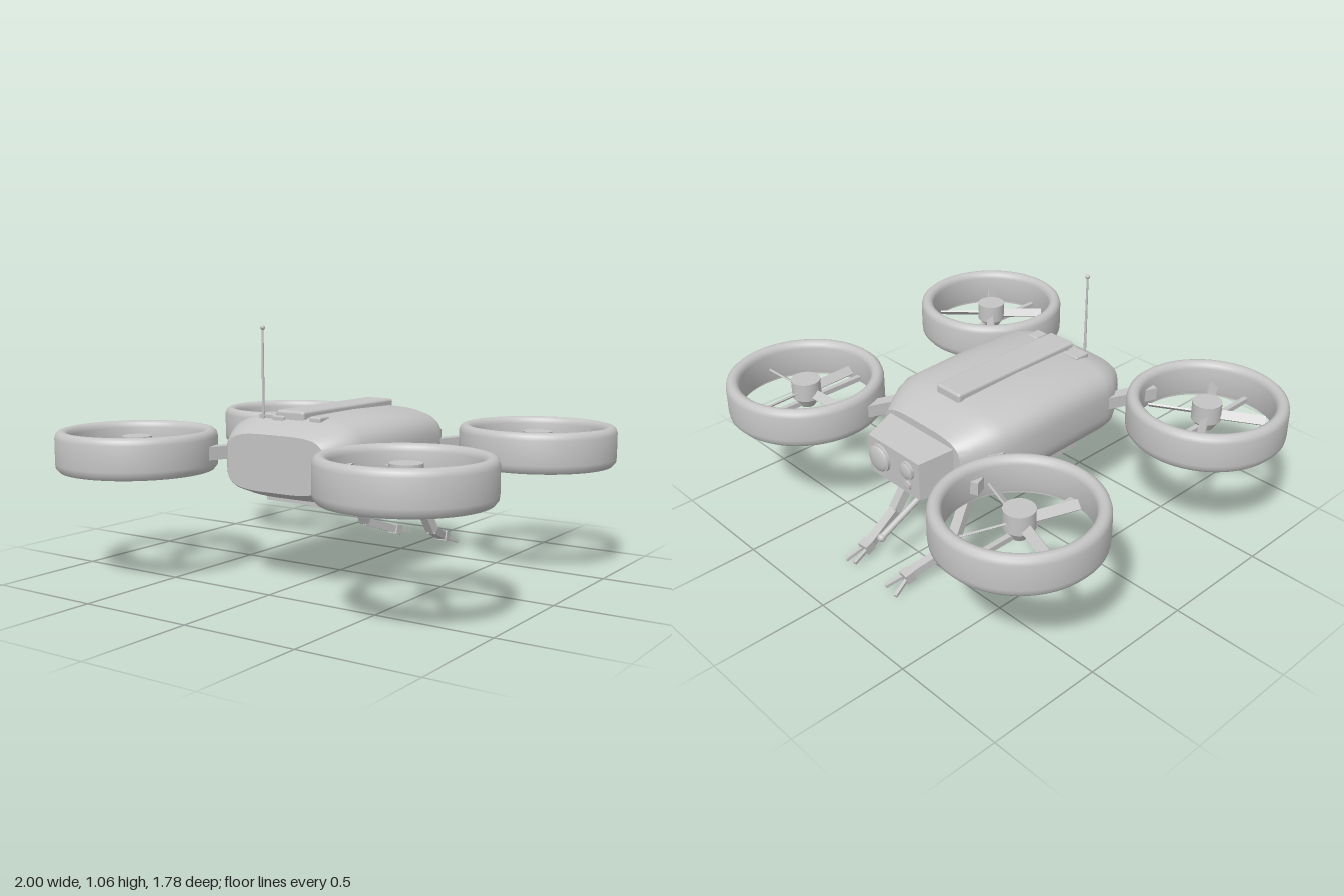
import * as THREE from 'three';
import { toCreasedNormals } from 'three/addons/utils/BufferGeometryUtils.js';
import { RoundedBoxGeometry } from 'three/addons/geometries/RoundedBoxGeometry.js';

const grey = new THREE.MeshStandardMaterial({ color: 0xc4c4c4 });
grey.name = 'paleGrey';
const V = (x, y, z) => new THREE.Vector3(x, y, z);

function add(parent, name, geometry, x = 0, y = 0, z = 0) {
  const mesh = new THREE.Mesh(geometry, grey);
  mesh.name = name;
  mesh.position.set(x, y, z);
  parent.add(mesh);
  return mesh;
}

// Square bar between two points
function bar(parent, name, a, b, w, h = w) {
  const mesh = new THREE.Mesh(new THREE.BoxGeometry(w, h, a.distanceTo(b)), grey);
  mesh.name = name;
  mesh.position.copy(a).lerp(b, 0.5);
  mesh.lookAt(b);
  parent.add(mesh);
}

// Round rod between two points, radius ra at a and rb at b
function rod(parent, name, a, b, ra, rb = ra) {
  const mesh = add(parent, name, new THREE.CylinderGeometry(rb, ra, a.distanceTo(b), 14));
  mesh.position.copy(a).lerp(b, 0.5);
  mesh.quaternion.setFromUnitVectors(V(0, 1, 0), b.clone().sub(a).normalize());
}

// Skin through closed loops of points that run from back to front
function loft(loops, crease) {
  const n = loops[0].length, pos = [], index = [];
  loops.forEach(loop => loop.forEach(p => pos.push(p.x, p.y, p.z)));
  for (let i = 0; i < loops.length - 1; i++) {
    for (let j = 0; j < n; j++) {
      const a = i * n + j, b = i * n + (j + 1) % n;
      index.push(a, b, b + n, a, b + n, a + n);
    }
  }
  const last = (loops.length - 1) * n;
  for (let j = 1; j < n - 1; j++) {
    index.push(0, j + 1, j, last, last + j, last + j + 1);
  }
  const g = new THREE.BufferGeometry();
  g.setAttribute('position', new THREE.Float32BufferAttribute(pos, 3));
  g.setIndex(index);
  return toCreasedNormals(g, crease);
}

// Softened rectangle as a cross-section
function section([z, halfW, y0, y1, power]) {
  const pts = [];
  const soft = v => Math.sign(v) * Math.abs(v) ** (2 / power);
  for (let i = 0; i < 64; i++) {
    const t = (i / 64) * Math.PI * 2;
    pts.push(V(halfW * soft(Math.cos(t)), (y0 + y1) / 2 + (y1 - y0) / 2 * soft(Math.sin(t)), z));
  }
  return pts;
}

function ductedRotor(name, x, z, turn) {
  const g = new THREE.Group();
  g.name = name;
  g.position.set(x, 0, z);
  // Shroud with rounded upper lip and stepped lower lip
  const profile = [[0.3, 0.465], [0.322, 0.465], [0.336, 0.482], [0.338, 0.5], [0.338, 0.605],
    [0.333, 0.622], [0.322, 0.632], [0.309, 0.635], [0.296, 0.631], [0.286, 0.622], [0.281, 0.605],
    [0.284, 0.5], [0.288, 0.48], [0.3, 0.48], [0.3, 0.465]].map(p => new THREE.Vector2(...p));
  add(g, 'ductShroud', toCreasedNormals(new THREE.LatheGeometry(profile, 64), 0.6));
  add(g, 'motorHub', toCreasedNormals(new THREE.CylinderGeometry(0.063, 0.063, 0.08, 28), 0.6), 0, 0.565, 0);
  add(g, 'hubTail', toCreasedNormals(new THREE.CylinderGeometry(0.06, 0.032, 0.045, 28), 0.6), 0, 0.503, 0);
  // Support spar across the duct
  bar(g, 'supportSpar', V(0, 0.5, -0.29), V(0, 0.5, 0.29), 0.022);
  const blades = new THREE.Group();
  blades.name = 'blades';
  blades.position.y = 0.55;
  blades.rotation.y = turn;
  for (let i = 0; i < 4; i++) {
    const arm = new THREE.Group();
    arm.name = 'blade';
    arm.rotation.y = i * Math.PI / 2;
    add(arm, 'bladePlate', new THREE.BoxGeometry(0.2, 0.008, 0.042), 0.145, 0, 0).rotation.x = 0.7;
    blades.add(arm);
  }
  g.add(blades);
  return g;
}

export function createModel() {
  const model = new THREE.Group();
  model.name = 'quadRotorDrone';

  // Fuselage
  const sections = [[-0.46, 0.235, 0.372, 0.63, 4], [-0.42, 0.262, 0.365, 0.65, 3.8],
    [-0.34, 0.305, 0.358, 0.69, 3.5], [-0.28, 0.325, 0.357, 0.706, 3.4], [0, 0.327, 0.36, 0.713, 3.4],
    [0.3, 0.325, 0.364, 0.71, 3.4], [0.35, 0.318, 0.372, 0.698, 3.5], [0.43, 0.268, 0.4, 0.663, 3.9],
    [0.46, 0.24, 0.413, 0.645, 4]];
  add(model, 'fuselage', loft(sections.map(section), 0.75));

  // Roof details
  add(model, 'roofSpine', new RoundedBoxGeometry(0.138, 0.05, 0.67, 3, 0.012), -0.003, 0.708, 0.018);
  add(model, 'antennaBase', new RoundedBoxGeometry(0.08, 0.03, 0.075, 2, 0.006), -0.12, 0.7, 0.315);
  add(model, 'roofBox', new RoundedBoxGeometry(0.055, 0.03, 0.07, 2, 0.008), 0.12, 0.7, 0.32);
  add(model, 'roofClip', new RoundedBoxGeometry(0.06, 0.025, 0.045, 2, 0.006), -0.055, 0.698, 0.342);
  rod(model, 'antenna', V(-0.135, 0.69, 0.355), V(-0.135, 1.06, 0.355), 0.006, 0.004);
  add(model, 'antennaTip', new THREE.SphereGeometry(0.01, 14, 10), -0.135, 1.062, 0.355);

  // Belly plate and round sensor
  add(model, 'bellyPlate', new THREE.BoxGeometry(0.455, 0.045, 0.325), 0, 0.35, 0.057);
  add(model, 'bellySensor', toCreasedNormals(new THREE.CylinderGeometry(0.12, 0.12, 0.03, 40), 0.6), 0, 0.326, 0.06);

  // Sensor head tapering away from the fuselage
  const headLoop = (z, w, y0, y1) => [V(w, y0, z), V(w, y1, z), V(-w, y1, z), V(-w, y0, z)];
  add(model, 'sensorHead', loft([headLoop(-0.605, 0.155, 0.405, 0.572), headLoop(-0.44, 0.2, 0.405, 0.6)], 0.2));
  for (const [name, x, y, r] of [['largeLens', 0.085, 0.495, 0.062], ['smallLens', -0.085, 0.515, 0.04],
    ['tinyLens', -0.085, 0.445, 0.02]]) {
    const rim = add(model, name + 'Rim', toCreasedNormals(new THREE.CylinderGeometry(r, r, 0.014, 28), 0.6), x, y, -0.61);
    rim.rotation.x = Math.PI / 2;
    add(model, name, new THREE.SphereGeometry(r * 0.95, 24, 16), x, y, -0.612).scale.z = 0.35;
  }

  // Sampling probe
  rod(model, 'probe', V(0, 0.365, -0.31), V(0, 0.185, -0.685), 0.012, 0.014);
  add(model, 'probeTip', new THREE.SphereGeometry(0.018, 18, 12), 0, 0.182, -0.69);

  // Gripper arms
  for (const s of [1, -1]) {
    const arm = new THREE.Group();
    arm.name = s > 0 ? 'leftGripperArm' : 'rightGripperArm';
    const elbow = V(s * 0.182, 0.12, -0.475), wrist = V(s * 0.137, 0.06, -0.65);
    bar(arm, 'upperArm', V(s * 0.158, 0.37, -0.325), elbow, 0.045, 0.04);
    bar(arm, 'forearm', V(s * 0.184, 0.125, -0.465), wrist, 0.038, 0.036);
    bar(arm, 'wrist', wrist, V(s * 0.133, 0.05, -0.69), 0.05, 0.045);
    for (const f of [-1, 1]) {
      const knuckle = V(s * 0.133 + f * 0.012, 0.05, -0.68);
      const tip = V(s * 0.133 + f * 0.03, 0.022 - f * s * 0.008, -0.76);
      bar(arm, 'finger', knuckle, tip, 0.014, 0.014);
    }
    model.add(arm);
  }

  // Four ducted rotors with their struts
  const rotors = [['leftFrontRotor', 1, 1, 0.8], ['rightFrontRotor', -1, 1, 0.53],
    ['leftRearRotor', 1, -1, 0.04], ['rightRearRotor', -1, -1, -0.34]];
  for (const [name, sx, sz, turn] of rotors) {
    model.add(ductedRotor(name, sx * 0.66, sz > 0 ? 0.547 : -0.553, turn));
    bar(model, 'rotorStrut', V(sx * 0.28, 0.545, sz * 0.27), V(sx * 0.385, 0.545, sz * 0.535), 0.05, 0.055);
  }
  return model;
}
